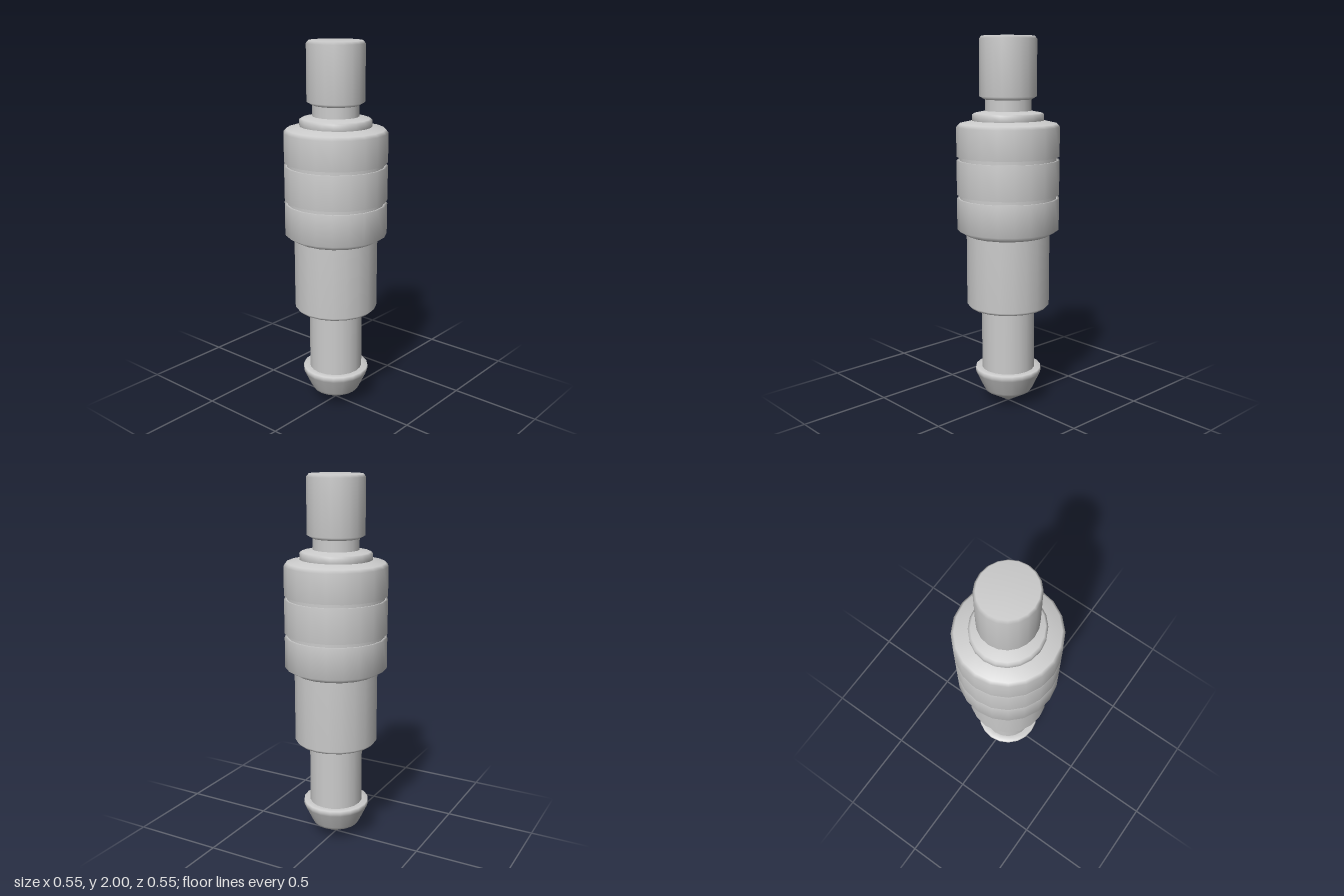
import * as THREE from 'three';

const SIDES = 20;

// Each part is a turned section: [radius, height] pairs from bottom to top,
// with a slight stretch along z for the upper parts.
const PARTS = [
  { name: 'tip', stretch: 1, profile: [[0, 0], [0.125, 0.07], [0.135, 0.085], [0.178, 0.175], [0.182, 0.19], [0.18, 0.207], [0.145, 0.207]] },
  { name: 'stem', stretch: 1, profile: [[0.145, 0.207], [0.145, 0.56]] },
  { name: 'sleeve', stretch: 1, profile: [[0.145, 0.56], [0.212, 0.56], [0.225, 0.575], [0.225, 0.96]] },
  { name: 'lowerBand', stretch: 1.01, profile: [[0.225, 0.96], [0.273, 0.99], [0.273, 1.157], [0.258, 1.157]] },
  { name: 'lowerGroove', stretch: 1.01, profile: [[0.258, 1.157], [0.258, 1.177]] },
  { name: 'middleBand', stretch: 1.01, profile: [[0.258, 1.177], [0.273, 1.177], [0.273, 1.36], [0.258, 1.36]] },
  { name: 'upperGroove', stretch: 1.01, profile: [[0.258, 1.36], [0.258, 1.38]] },
  { name: 'upperBand', stretch: 1.01, profile: [[0.258, 1.38], [0.273, 1.38], [0.273, 1.535], [0.258, 1.552], [0.187, 1.568]] },
  { name: 'collar', stretch: 1.035, profile: [[0.18, 1.565], [0.187, 1.567], [0.187, 1.6], [0.175, 1.607], [0.12, 1.618]] },
  { name: 'neck', stretch: 1.035, profile: [[0.12, 1.618], [0.12, 1.676]] },
  { name: 'head', stretch: 1.035, profile: [[0.12, 1.676], [0.149, 1.693], [0.149, 1.985], [0.137, 2], [0, 2]] },
];

export function createModel() {
  const model = new THREE.Group();
  model.name = 'turnedPlug';
  const material = new THREE.MeshStandardMaterial({ color: 0xcccccc, side: THREE.DoubleSide });

  for (const { name, stretch, profile } of PARTS) {
    const points = profile.map(([r, y]) => new THREE.Vector2(r, y));
    const geometry = new THREE.LatheGeometry(points, SIDES);
    geometry.scale(1, 1, stretch);
    const mesh = new THREE.Mesh(geometry, material);
    mesh.name = name;
    model.add(mesh);
  }
  return model;
}
